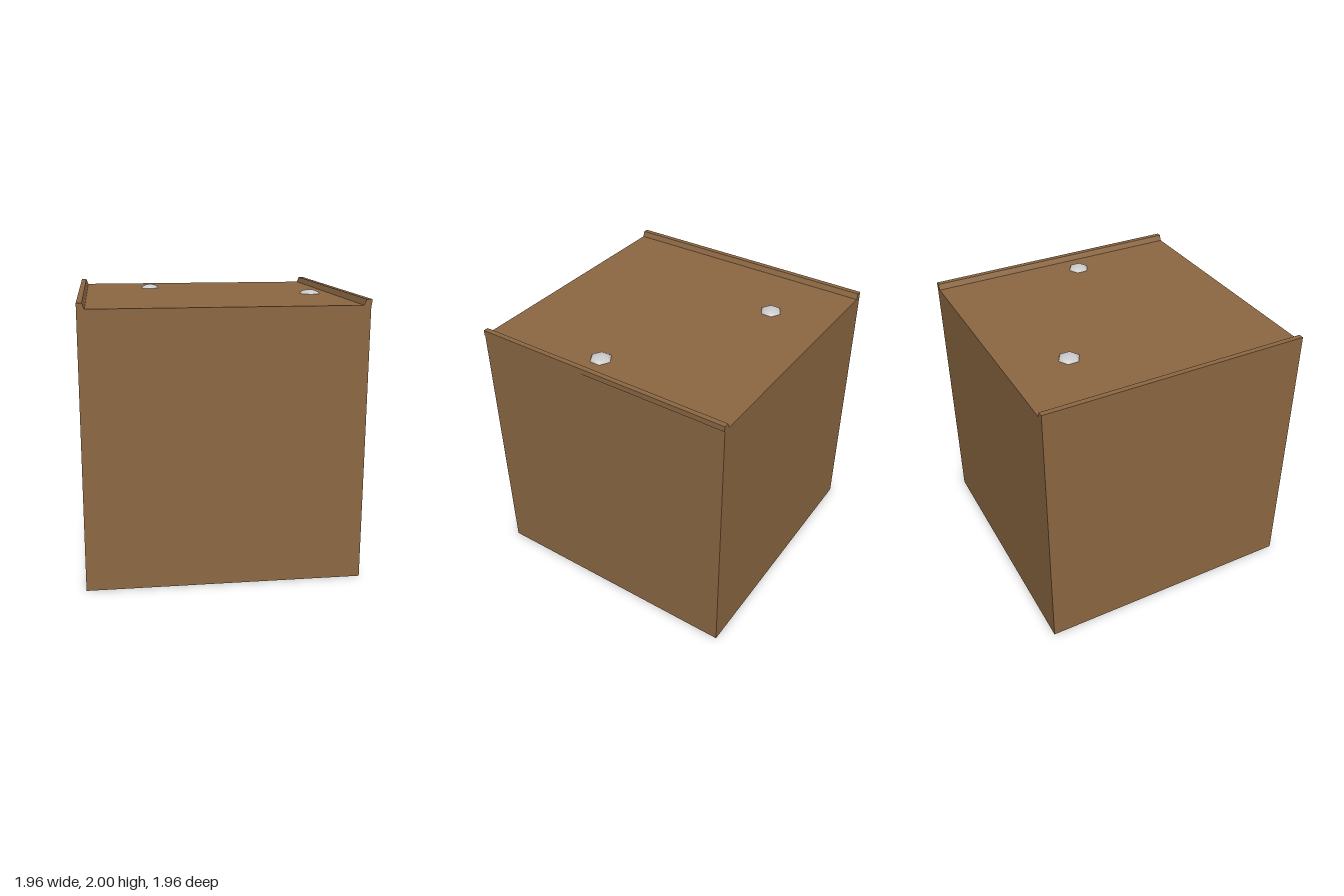
import * as THREE from 'three';

const brown = new THREE.MeshStandardMaterial({ color: 0x8c6843, flatShading: true });
const grey = new THREE.MeshStandardMaterial({ color: 0xcccccc });

const DEPTH = 1.96, TOP = 1.96;

function add(parent, name, geometry, material) {
  const mesh = new THREE.Mesh(geometry, material);
  mesh.name = name;
  parent.add(mesh);
  return mesh;
}

// Lip with a sloping inner side, running the full depth of the block
function rimGeometry(corners) {
  const shape = new THREE.Shape(corners.map(([x, y]) => new THREE.Vector2(x, y)));
  return new THREE.ExtrudeGeometry(shape, { depth: DEPTH, bevelEnabled: false })
    .translate(0, 0, -DEPTH / 2);
}

// Low six-sided dome, point towards +z
function studGeometry() {
  const profile = [];
  for (let i = 0; i <= 4; i++) {
    const a = (i / 4) * Math.PI / 2;
    profile.push(new THREE.Vector2(0.078 * Math.cos(a), 0.03 * Math.sin(a)));
  }
  profile[4].x = 0;
  return new THREE.LatheGeometry(profile, 6);
}

export function createModel() {
  const group = new THREE.Group();
  group.name = 'block';

  // Main block, set in slightly under the left rim
  const body = add(group, 'body', new THREE.BoxGeometry(1.957, TOP, DEPTH), brown);
  body.position.set(-0.0035, TOP / 2, 0);

  // Raised rims along both sides of the top
  add(group, 'rightRim', rimGeometry([[-0.982, TOP], [-0.929, TOP], [-0.944, 2], [-0.982, 2]]), brown);
  add(group, 'leftRim', rimGeometry([[0.925, TOP], [0.98, TOP], [0.98, 2], [0.943, 2]]), brown);

  // Metal studs on the top
  for (const [x, z] of [[-0.42, -0.53], [0.765, 0.12]]) {
    add(group, 'stud', studGeometry(), grey).position.set(x, TOP, z);
  }
  return group;
}
